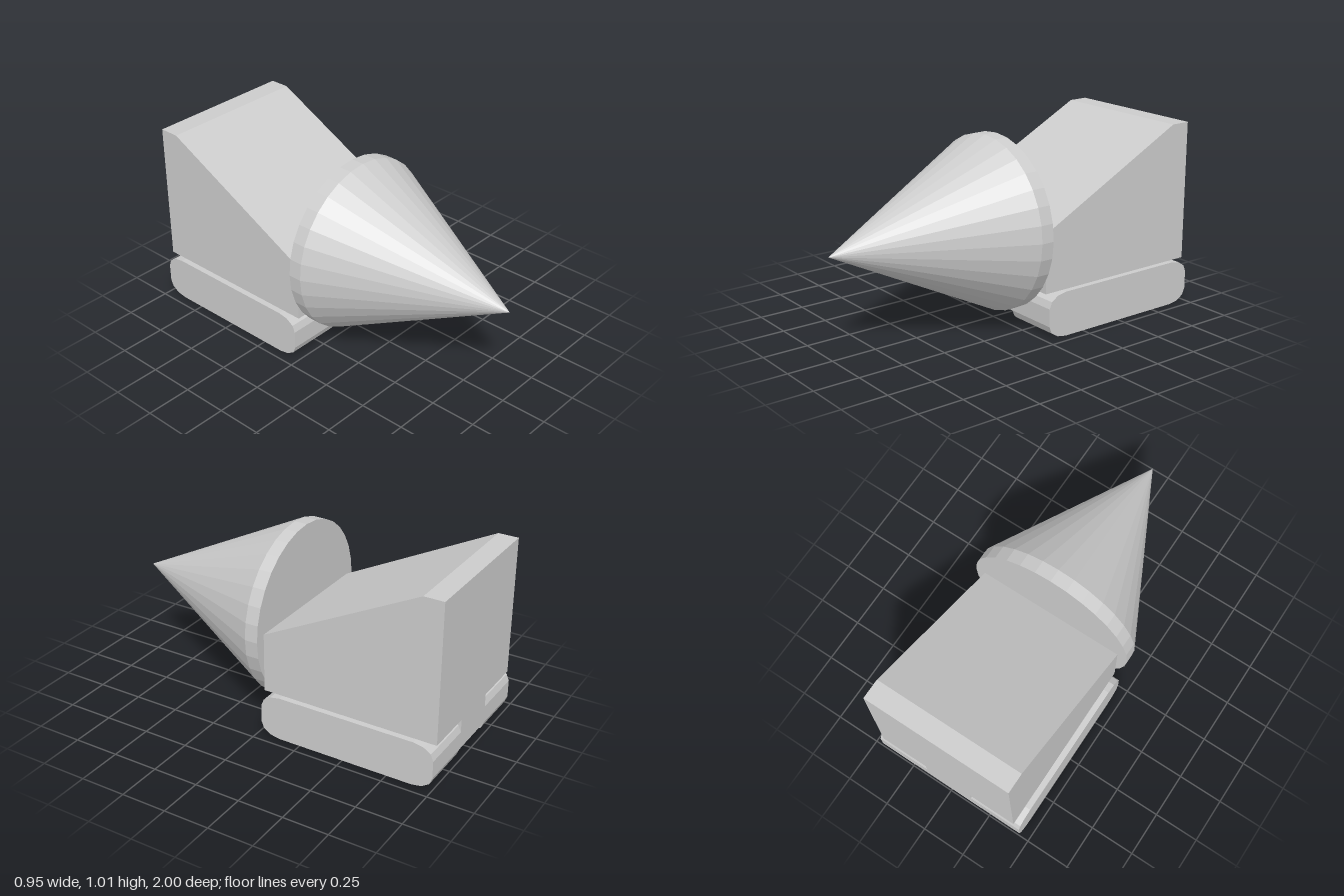
import * as THREE from 'three';

const grey = new THREE.MeshStandardMaterial({ color: 0xcccccc, flatShading: true });

// Extrude a [z, y] side profile across x from x0 to x1
function sideExtrude(name, points, x0, x1) {
  const shape = new THREE.Shape(points.map(([z, y]) => new THREE.Vector2(-z, y)));
  const geo = new THREE.ExtrudeGeometry(shape, { depth: x1 - x0, bevelEnabled: false });
  geo.rotateY(Math.PI / 2).translate(x0, 0, 0);
  const mesh = new THREE.Mesh(geo, grey);
  mesh.name = name;
  return mesh;
}

// Rectangle in z, y with elliptical corners of three facets each
function trackProfile(z0, z1, y0, y1, rz, ry) {
  const points = [];
  const corners = [[z1 - rz, y1 - ry], [z0 + rz, y1 - ry], [z0 + rz, y0 + ry], [z1 - rz, y0 + ry]];
  corners.forEach(([cz, cy], q) => {
    for (let i = 0; i <= 3; i++) {
      const a = (q + i / 3) * Math.PI / 2;
      points.push([cz + rz * Math.cos(a), cy + ry * Math.sin(a)]);
    }
  });
  return points;
}

export function createModel() {
  const model = new THREE.Group();
  model.name = 'drillVehicle';

  // Conical drill with a short straight rim
  const r = 0.473;
  const drillGeo = new THREE.LatheGeometry(
    [[0, -0.018], [r, -0.018], [r, 0.055], [0, 1]].map(([x, y]) => new THREE.Vector2(x, y)), 32);
  drillGeo.rotateX(Math.PI / 2);
  const drill = new THREE.Mesh(drillGeo, grey);
  drill.name = 'drillCone';
  drill.position.y = 0.54;
  model.add(drill);

  // Wedge-shaped body above the tracks
  model.add(sideExtrude('body',
    [[-0.02, 0.243], [-0.02, 0.565], [-0.89, 1.01], [-1, 1.01], [-1, 0.243]], -0.415, 0.415));

  // Narrow hull between the tracks
  model.add(sideExtrude('lowerHull',
    [[-0.02, 0.072], [-0.02, 0.243], [-1, 0.243], [-1, 0.072]], -0.142, 0.142));

  // Tracks on both sides
  const profile = trackProfile(-1, -0.02, 0, 0.243, 0.11, 0.073);
  model.add(sideExtrude('leftTrack', profile, 0.142, 0.447));
  model.add(sideExtrude('rightTrack', profile, -0.447, -0.142));

  return model;
}
